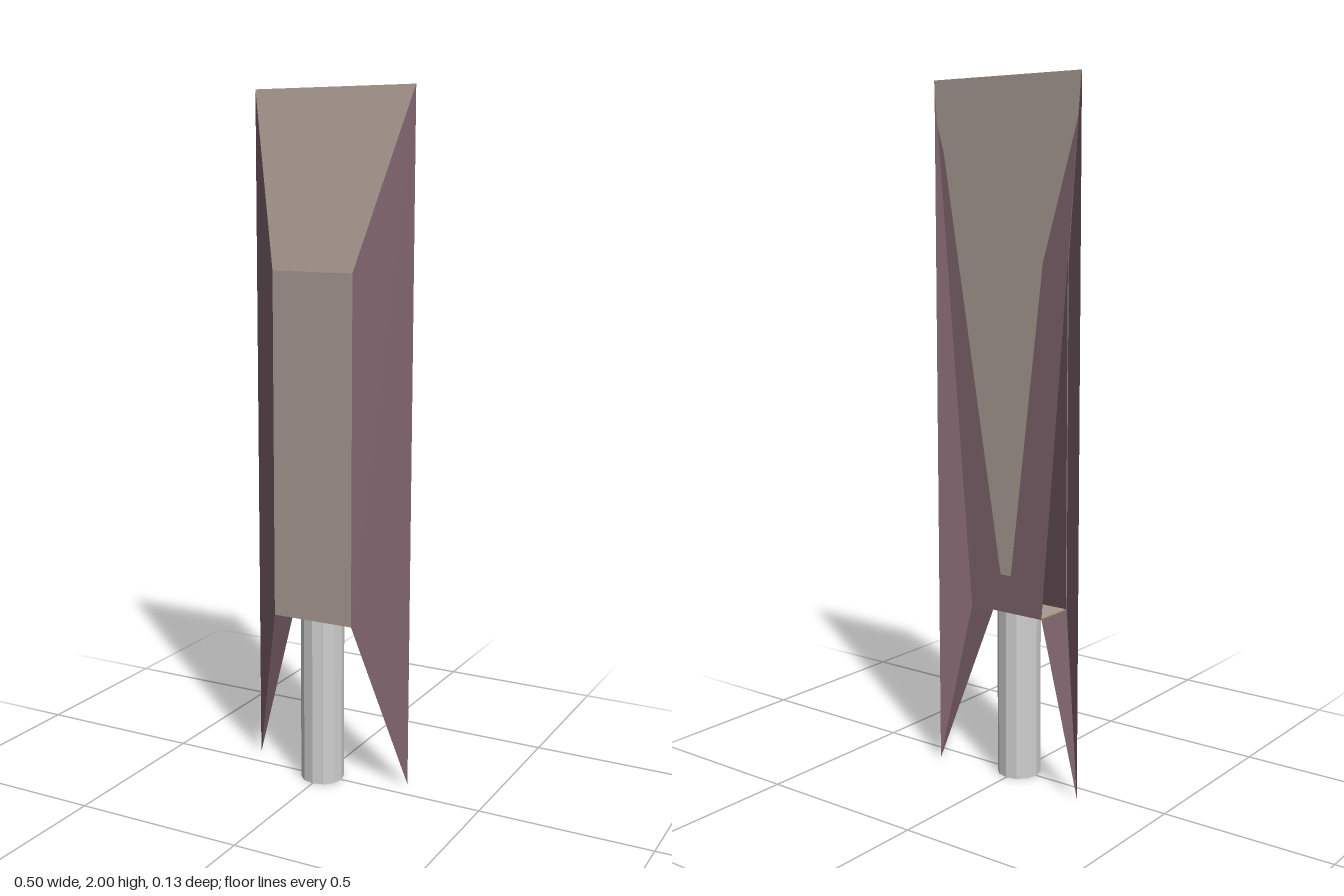
import * as THREE from 'three';

const mat = (name, color) => {
  const m = new THREE.MeshStandardMaterial({ color, flatShading: true, side: THREE.DoubleSide });
  m.name = name;
  return m;
};

// Flat convex panel from its corners, fanned anticlockwise from the first
function panel(name, corners, material) {
  const g = new THREE.BufferGeometry();
  g.setAttribute('position', new THREE.Float32BufferAttribute(corners.flat(), 3));
  const index = [];
  for (let i = 1; i < corners.length - 1; i++) index.push(0, i, i + 1);
  g.setIndex(index);
  g.computeVertexNormals();
  const mesh = new THREE.Mesh(g, material);
  mesh.name = name;
  return mesh;
}

export function createModel() {
  const model = new THREE.Group();
  model.name = 'postMarker';
  const taupe = mat('taupe', 0xa89a92);
  const mauve = mat('mauve', 0x7e636c);
  const grey = mat('light grey', 0xcfcfcf);
  const olive = mat('olive', 0x8c7f4e);
  const red = mat('red', 0xc8605c);
  const dark = mat('dark mauve', 0x5c484f);

  const N = 0.125, W = 0.25, F = 0.0625, B = -0.0625;

  // Front plate and the slope rising back to the top edge
  model.add(panel('frontPlate', [[-N, 0.5, F], [N, 0.5, F], [N, 1.5, F], [-N, 1.5, F]], taupe));
  model.add(panel('topSlope', [[-N, 1.5, F], [N, 1.5, F], [W, 2, B], [-W, 2, B]], taupe));

  // Linings inside the shell
  const f = F - 0.004;
  model.add(panel('frontLining', [[N, 0.5, f], [-N, 0.5, f], [-N, 1.5, f], [N, 1.5, f]], dark));
  model.add(panel('slopeLining',
    [[N, 1.5, f], [-N, 1.5, f], [-0.235, 1.95, B + 0.008], [0.235, 1.95, B + 0.008]], red));

  // Floor, with an olive underside
  model.add(panel('floor', [[-N, 0.503, F], [N, 0.503, F], [N, 0.503, B], [-N, 0.503, B]], taupe));
  model.add(panel('floorUnderside', [[-N, 0.5, B], [N, 0.5, B], [N, 0.5, F], [-N, 0.5, F]], olive));

  // Swept side wings with the webs that join them to the floor
  for (const [side, s] of [['left', 1], ['right', -1]]) {
    const wing = [[s * N, 0.5, F], [s * W, 0, B], [s * W, 2, B], [s * N, 1.5, F]];
    const web = [[s * N, 0.5, F], [s * N, 0.5, B], [s * W, 0, B]];
    if (s < 0) { wing.reverse(); web.reverse(); }
    model.add(panel(side + 'Wing', wing, mauve));
    model.add(panel(side + 'WingWeb', web, mauve));
  }

  // Tapered back plate with a narrower inlay
  model.add(panel('backPlate', [[W, 2, B], [-W, 2, B], [-N, 0.5, B], [N, 0.5, B]], mauve));
  const b = B - 0.002;
  model.add(panel('backInlay', [
    [W, 2, b], [-W, 2, b], [-0.24, 1.88, b], [-0.128, 1.5, b],
    [-0.018, 0.61, b], [0.018, 0.61, b], [0.128, 1.5, b], [0.24, 1.88, b]], taupe));

  // Post
  const post = new THREE.Mesh(new THREE.CylinderGeometry(0.0635, 0.0635, 0.5, 12), grey);
  post.name = 'post';
  post.position.y = 0.25;
  model.add(post);

  return model;
}
